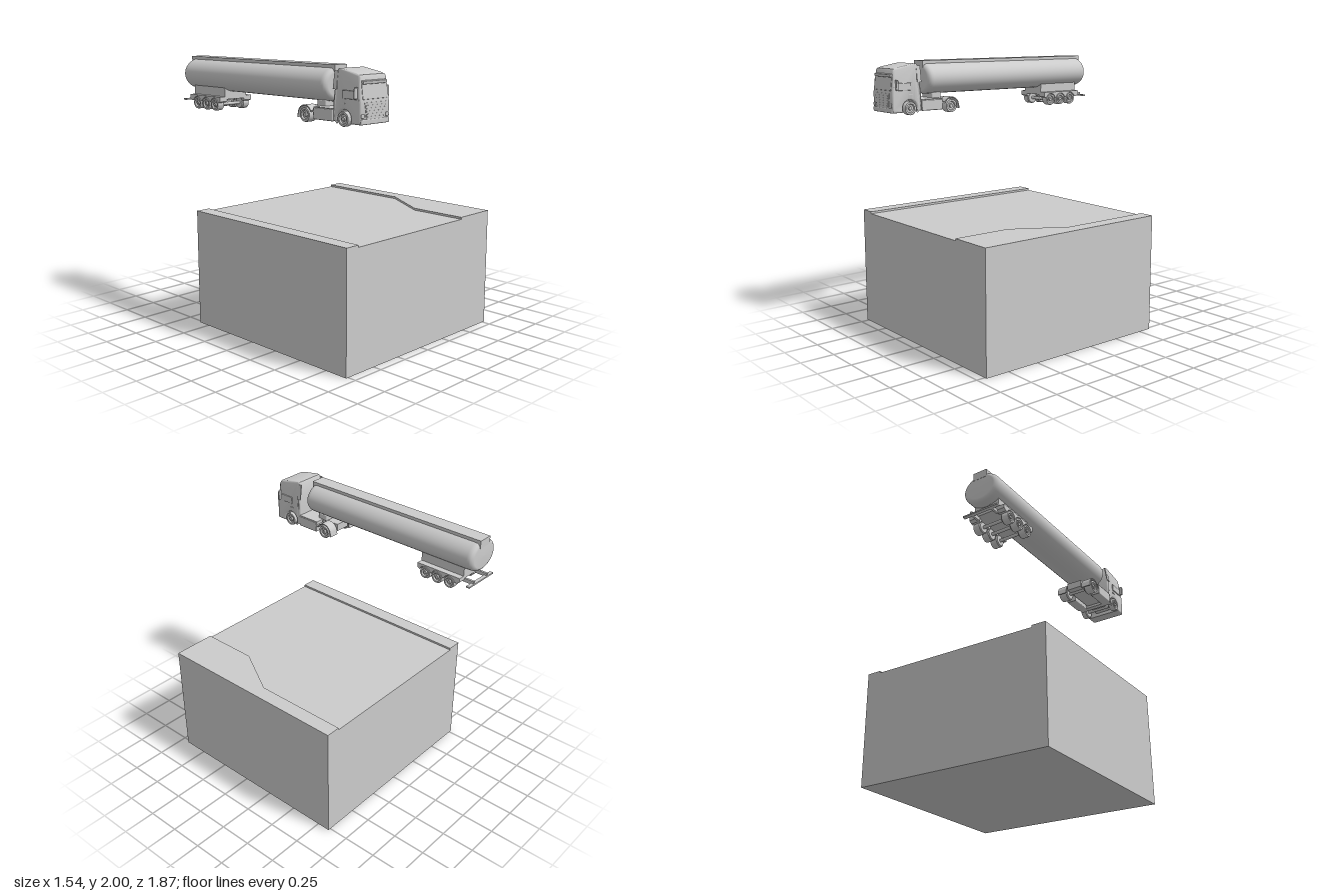
import * as THREE from 'three';
import { toCreasedNormals } from 'three/addons/utils/BufferGeometryUtils.js';
import { RoundedBoxGeometry } from 'three/addons/geometries/RoundedBoxGeometry.js';

const grey = new THREE.MeshStandardMaterial({ color: 0xcccccc });

function add(parent, name, geometry) {
  const mesh = new THREE.Mesh(geometry, grey);
  mesh.name = name;
  parent.add(mesh);
  return mesh;
}

// Box given by its limits on each axis
function box(parent, name, [x0, x1], [y0, y1], [z0, z1], round = 0) {
  const size = [x1 - x0, y1 - y0, z1 - z0];
  const g = round ? new RoundedBoxGeometry(...size, 2, round) : new THREE.BoxGeometry(...size);
  const mesh = add(parent, name, g);
  mesh.position.set((x0 + x1) / 2, (y0 + y1) / 2, (z0 + z1) / 2);
  return mesh;
}

// Side profile (z, y) pushed out across x, from x0 to x1
function sideExtrude(shape, x0, x1, bevel = 0) {
  const g = new THREE.ExtrudeGeometry(shape, {
    depth: x1 - x0 - 2 * bevel, curveSegments: 16, bevelEnabled: bevel > 0,
    bevelSize: bevel, bevelThickness: bevel, bevelOffset: -bevel, bevelSegments: 3,
  });
  g.rotateY(-Math.PI / 2);
  g.translate(x1 - bevel, 0, 0);
  return g;
}

function wheel(parent, name, side, outer, width, y, z, r) {
  const h = width / 2;
  const profile = [[0, -h], [r * 0.85, -h], [r, -h * 0.75], [r, h * 0.75], [r * 0.93, h], [r * 0.66, h],
    [r * 0.58, h - 0.012], [r * 0.32, h - 0.014], [r * 0.26, h - 0.002], [0, h - 0.002]];
  const lathe = new THREE.LatheGeometry(profile.map(p => new THREE.Vector2(...p)), 28);
  lathe.rotateZ(-side * Math.PI / 2);
  add(parent, name, toCreasedNormals(lathe, 0.6)).position.set(side * (outer - h), y, z);
}

function createGround() {
  const ground = new THREE.Group();
  ground.name = 'ground';
  box(ground, 'roadBlock', [-0.77, 0.77], [0, 0.86], [-0.6, 0.937]);
  box(ground, 'rightKerb', [-0.77, -0.66], [0.85, 0.875], [-0.6, 0.937]);
  // Kerb that widens toward the front; drawn in (x, -z) and laid flat
  const outline = [[0.77, 0.6], [0.66, 0.6], [0.66, -0.12], [0.44, -0.5], [0.44, -0.937], [0.77, -0.937]];
  const kerb = new THREE.ExtrudeGeometry(new THREE.Shape(outline.map(p => new THREE.Vector2(...p))),
    { depth: 0.025, bevelEnabled: false });
  kerb.rotateX(-Math.PI / 2);
  add(ground, 'leftKerb', kerb).position.y = 0.85;
  return ground;
}

function createCab() {
  const cab = new THREE.Group();
  cab.name = 'cab';
  // Cab body with wheel arches, narrowing toward the roof
  const s = new THREE.Shape();
  s.moveTo(0.904, 1.636);
  for (const p of [[0.912, 1.66], [0.912, 1.77], [0.91, 1.79], [0.9, 1.87], [0.894, 1.935], [0.885, 1.95],
    [0.85, 1.96], [0.71, 1.985], [0.693, 1.983], [0.685, 1.97], [0.677, 1.87], [0.668, 1.77], [0.668, 1.645]]) s.lineTo(...p);
  s.lineTo(0.711, 1.645);
  s.absarc(0.767, 1.666, 0.06, Math.PI + 0.36, -0.36, true);
  s.lineTo(0.825, 1.636);
  const body = sideExtrude(s, -0.138, 0.138, 0.012);
  const pos = body.attributes.position;
  for (let i = 0; i < pos.count; i++) {
    const t = THREE.MathUtils.clamp((pos.getY(i) - 1.83) / 0.15, 0, 1);
    pos.setX(i, pos.getX(i) * (1 - 0.15 * t));
  }
  body.computeVertexNormals();
  add(cab, 'cabBody', toCreasedNormals(body, 0.6));

  // Front face
  const screen = box(cab, 'windscreen', [-0.115, 0.115], [1.795, 1.895], [0.896, 0.906], 0.004);
  screen.rotation.x = -0.12;
  const visor = box(cab, 'sunVisor', [-0.112, 0.112], [1.893, 1.915], [0.885, 0.912], 0.004);
  visor.rotation.x = 0.2;
  box(cab, 'bumper', [-0.132, 0.132], [1.636, 1.672], [0.885, 0.917], 0.008);
  const g = new THREE.Shape([[-0.1, 1.776], [-0.08, 1.665], [0.08, 1.665], [0.1, 1.776]].map(p => new THREE.Vector2(...p)));
  add(cab, 'grillePanel', new THREE.ExtrudeGeometry(g, { depth: 0.005, bevelEnabled: false })).position.z = 0.91;
  for (let i = 0; i < 5; i++) {
    const y = 1.68 + i * 0.018, w = 0.076 + i * 0.0033;
    box(cab, 'grilleSlat', [-w, w], [y, y + 0.008], [0.912, 0.918]);
  }

  for (const m of [-1, 1]) {
    const across = (a, b) => [Math.min(m * a, m * b), Math.max(m * a, m * b)];
    box(cab, 'headlight', across(0.098, 0.13), [1.677, 1.705], [0.895, 0.916], 0.006);
    box(cab, 'sideWindow', across(0.13, 0.1395), [1.795, 1.85], [0.755, 0.88], 0.004);
    box(cab, 'mirror', across(0.137, 0.161), [1.8, 1.87], [0.872, 0.888], 0.006);
    box(cab, 'mirrorArm', across(0.11, 0.155), [1.866, 1.874], [0.874, 0.884]);
    const fairing = box(cab, 'sideFairing', across(0.121, 0.129), [1.85, 1.968], [0.667, 0.7]);
    fairing.rotation.z = m * 0.14;
    box(cab, 'doorHandle', across(0.136, 0.141), [1.762, 1.768], [0.745, 0.775]);
  }
  return cab;
}

function createTractor() {
  const tractor = new THREE.Group();
  tractor.name = 'tractor';
  tractor.add(createCab());
  box(tractor, 'chassisFrame', [-0.06, 0.06], [1.665, 1.72], [0.35, 0.88]);
  box(tractor, 'chassisDeck', [-0.14, 0.14], [1.712, 1.725], [0.49, 0.67]);
  box(tractor, 'fifthWheel', [-0.07, 0.07], [1.715, 1.765], [0.455, 0.535], 0.008);
  for (const z of [0.767, 0.413]) {
    const axle = add(tractor, 'axle', new THREE.CylinderGeometry(0.014, 0.014, 0.22, 12));
    axle.rotation.z = Math.PI / 2;
    axle.position.set(0, 1.666, z);
  }
  // Mudguard over the rear wheel: an arched strip with a tail
  const f = new THREE.Shape();
  f.moveTo(0.5, 1.69);
  f.lineTo(0.481, 1.69);
  f.absarc(0.413, 1.666, 0.06, 0.4, Math.PI - 0.1, false);
  f.lineTo(0.348, 1.645);
  f.lineTo(0.341, 1.645);
  f.absarc(0.413, 1.666, 0.067, Math.PI - 0.1, 0.5, true);
  f.lineTo(0.5, 1.7);
  for (const m of [-1, 1]) {
    const x0 = m < 0 ? -0.146 : 0.07, x1 = m < 0 ? -0.07 : 0.146;
    box(tractor, 'sideSkirt', [x0, x1], [1.642, 1.72], [0.492, 0.672], 0.006);
    add(tractor, 'rearMudguard', sideExtrude(f, x0, x1));
    wheel(tractor, 'frontWheel', m, 0.146, 0.045, 1.666, 0.767, 0.05);
    wheel(tractor, 'rearWheel', m, 0.146, 0.072, 1.666, 0.413, 0.05);
  }
  return tractor;
}

function createTrailer() {
  const trailer = new THREE.Group();
  trailer.name = 'tankTrailer';
  // Oval tank with rounded end rims
  const half = [[0, 0], [0.76, 0.002], [0.86, 0.007], [0.94, 0.016], [0.985, 0.028], [1, 0.045]];
  const profile = [...half.map(([r, d]) => new THREE.Vector2(r, -0.935 + d)),
    ...half.slice().reverse().map(([r, d]) => new THREE.Vector2(r, 0.605 - d))];
  const tank = new THREE.LatheGeometry(profile, 64);
  tank.rotateX(Math.PI / 2);
  tank.scale(0.147, 0.116, 1);
  add(trailer, 'tank', tank).position.y = 1.87;
  box(trailer, 'topWalkway', [-0.056, 0.056], [1.94, 2], [-0.935, 0.605]);

  // Running gear
  box(trailer, 'subframe', [-0.1, 0.1], [1.7, 1.79], [-0.85, -0.487]);
  const axles = [-0.555, -0.657, -0.762];
  const guard = new THREE.Shape();
  guard.moveTo(-0.487, 1.72);
  guard.lineTo(-0.85, 1.72);
  guard.lineTo(-0.85, 1.69);
  guard.lineTo(-0.828, 1.675);
  for (const z of axles.slice().reverse()) guard.absarc(z, 1.661, 0.0485, Math.PI - 0.3, 0.3, true);
  guard.lineTo(-0.487, 1.685);
  for (const m of [-1, 1]) {
    add(trailer, 'trailerMudguard', sideExtrude(guard, m < 0 ? -0.147 : 0.08, m < 0 ? -0.08 : 0.147));
    for (const z of axles) wheel(trailer, 'trailerWheel', m, 0.147, 0.06, 1.661, z, 0.045);
    box(trailer, 'bumperArm', [m * 0.08 - 0.008, m * 0.08 + 0.008], [1.673, 1.7], [-0.925, -0.83]);
  }
  for (const z of axles) {
    const axle = add(trailer, 'trailerAxle', new THREE.CylinderGeometry(0.012, 0.012, 0.22, 12));
    axle.rotation.z = Math.PI / 2;
    axle.position.set(0, 1.661, z);
  }
  box(trailer, 'rearBumper', [-0.145, 0.145], [1.671, 1.682], [-0.932, -0.905]);
  return trailer;
}

export function createModel() {
  const model = new THREE.Group();
  model.name = 'tankerTruckAboveRoad';
  const truck = new THREE.Group();
  truck.name = 'tankerTruck';
  truck.add(createTractor(), createTrailer());
  truck.position.x = -0.475;
  truck.rotation.y = -0.011;
  model.add(createGround(), truck);
  return model;
}
